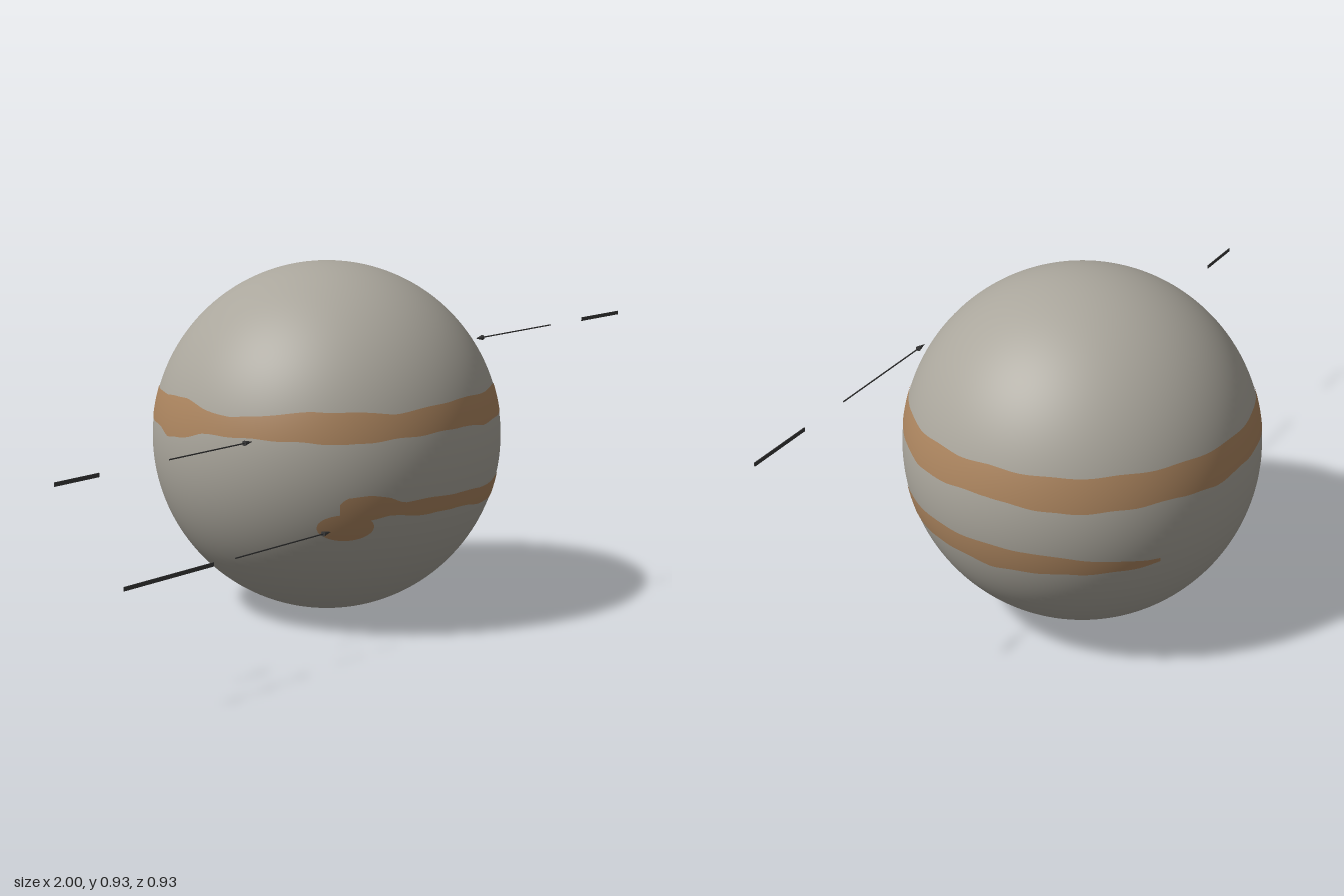
import * as THREE from 'three';

const R = 0.466;
const CENTER = new THREE.Vector3(0.121, 0.466, 0);

// Linear lookup in rows of [angle, bottom, top]
function sample(rows, a, col) {
  let i = 1;
  while (i < rows.length - 1 && rows[i][0] < a) i++;
  const p = rows[i - 1], q = rows[i];
  const t = THREE.MathUtils.clamp((a - p[0]) / (q[0] - p[0]), 0, 1);
  return THREE.MathUtils.lerp(p[col], q[col], t);
}

// Curved patch lying on the globe; angles run from +z towards +x, heights are world y
function surfacePatch(rows, steps, ripple, lift) {
  const r = R + lift, levels = 8;
  const positions = [], normals = [], index = [];
  const start = rows[0][0], end = rows[rows.length - 1][0];
  for (let i = 0; i <= steps; i++) {
    const deg = start + (end - start) * i / steps;
    const a = THREE.MathUtils.degToRad(deg);
    const low = sample(rows, deg, 1) + ripple * Math.sin(a * 23);
    const high = sample(rows, deg, 2) + ripple * Math.sin(a * 17);
    for (let j = 0; j <= levels; j++) {
      const y = THREE.MathUtils.lerp(low, high, j / levels) - CENTER.y;
      const ring = Math.sqrt(r * r - y * y);
      const p = new THREE.Vector3(Math.sin(a) * ring, y, Math.cos(a) * ring);
      positions.push(p.x, p.y, p.z);
      normals.push(p.x / r, p.y / r, p.z / r);
      if (i < steps && j < levels) {
        const k = i * (levels + 1) + j, n = k + levels + 1;
        index.push(k, n, n + 1, k, n + 1, k + 1);
      }
    }
  }
  const g = new THREE.BufferGeometry();
  g.setAttribute('position', new THREE.Float32BufferAttribute(positions, 3));
  g.setAttribute('normal', new THREE.Float32BufferAttribute(normals, 3));
  g.setIndex(index);
  return g;
}

export function createModel() {
  const model = new THREE.Group();
  model.name = 'bandedPlanet';
  const stone = new THREE.MeshStandardMaterial({ color: 0xaaa69c });
  stone.name = 'warm grey';
  const rust = new THREE.MeshStandardMaterial({ color: 0xac855f });
  rust.name = 'rusty brown';
  const ink = new THREE.MeshStandardMaterial({ color: 0x3a3a3a });
  ink.name = 'dark grey';

  const add = (parent, name, geometry, material, x = 0, y = 0, z = 0) => {
    const mesh = new THREE.Mesh(geometry, material);
    mesh.name = name;
    mesh.position.set(x, y, z);
    parent.add(mesh);
    return mesh;
  };

  // Globe with its painted cloud belts
  const planet = new THREE.Group();
  planet.name = 'planet';
  planet.position.copy(CENTER);
  model.add(planet);
  add(planet, 'globe', new THREE.SphereGeometry(R, 128, 80), stone);

  // Northern belt runs all the way round
  const northBelt = [
    [-180, 0.53, 0.612], [-156, 0.523, 0.61], [-135, 0.524, 0.605], [-118, 0.518, 0.602],
    [-112, 0.502, 0.609], [-103, 0.508, 0.608], [-94, 0.53, 0.592], [-82, 0.533, 0.58],
    [-68, 0.533, 0.595], [-55, 0.53, 0.605], [-44, 0.525, 0.605], [-28, 0.535, 0.596],
    [-15, 0.54, 0.605], [-2, 0.545, 0.614], [10, 0.535, 0.612], [30, 0.54, 0.615],
    [45, 0.535, 0.613], [57, 0.525, 0.61], [68, 0.526, 0.613], [78, 0.535, 0.613],
    [90, 0.54, 0.617], [100, 0.533, 0.615], [116, 0.525, 0.613], [131, 0.53, 0.616],
    [150, 0.535, 0.615], [165, 0.523, 0.613], [180, 0.53, 0.612],
  ];
  add(planet, 'northBelt', surfacePatch(northBelt, 240, 0.0015, 0.0015), rust);

  // Southern belt covers about half of the circumference
  const southBelt = [
    [-46, 0.33, 0.375], [-44, 0.32, 0.39], [-36, 0.33, 0.394], [-30, 0.338, 0.388],
    [-25, 0.336, 0.372], [-15, 0.33, 0.375], [-2, 0.335, 0.375], [10, 0.325, 0.37],
    [20, 0.318, 0.372], [34, 0.322, 0.38], [40, 0.33, 0.39], [46, 0.333, 0.4],
    [64, 0.335, 0.4], [77, 0.34, 0.402], [90, 0.331, 0.404], [103, 0.34, 0.405],
    [116, 0.345, 0.398], [124, 0.346, 0.39], [133, 0.35, 0.38], [140, 0.353, 0.374],
    [145, 0.358, 0.372],
  ];
  add(planet, 'southBelt', surfacePatch(southBelt, 140, 0.0015, 0.0015), rust);

  // Oval storm hanging off the end of the southern belt
  const storm = [];
  for (let i = 0; i <= 24; i++) {
    const t = -Math.cos(Math.PI * i / 24);
    const h = 0.036 * Math.sqrt(Math.max(0, 1 - t * t));
    storm.push([-44 + 9.5 * t, 0.31 - h, 0.31 + h]);
  }
  add(planet, 'stormSpot', surfacePatch(storm, 48, 0, 0.002), rust);

  // Pointers: thin line, arrowhead and a blank label strip
  const pointers = [
    { name: 'upperPointer', tip: -0.335, tail: -0.63, label: [-1, -0.86], y: 0.53, z: 0.14 },
    { name: 'lowerPointer', tip: -0.222, tail: -0.575, label: [-0.945, -0.65], y: 0.305, z: 0.3 },
    { name: 'northPointer', tip: 0.305, tail: 0.655, label: [0.81, 1], y: 0.738, z: 0.355 },
  ];
  for (const { name, tip, tail, label, y, z } of pointers) {
    const pointer = new THREE.Group();
    pointer.name = name;
    pointer.position.set(0, y, z);
    model.add(pointer);
    const dir = Math.sign(tip - tail);
    add(pointer, 'pointerLine', new THREE.BoxGeometry(Math.abs(tip - tail) - 0.02, 0.003, 0.002), ink,
      (tip + tail) / 2 - dir * 0.01);
    const head = add(pointer, 'arrowHead', new THREE.ConeGeometry(0.007, 0.03, 8), ink, tip - dir * 0.015);
    head.rotation.z = -dir * Math.PI / 2;
    add(pointer, 'labelStrip', new THREE.BoxGeometry(label[1] - label[0], 0.01, 0.002), ink,
      (label[0] + label[1]) / 2);
  }

  return model;
}
